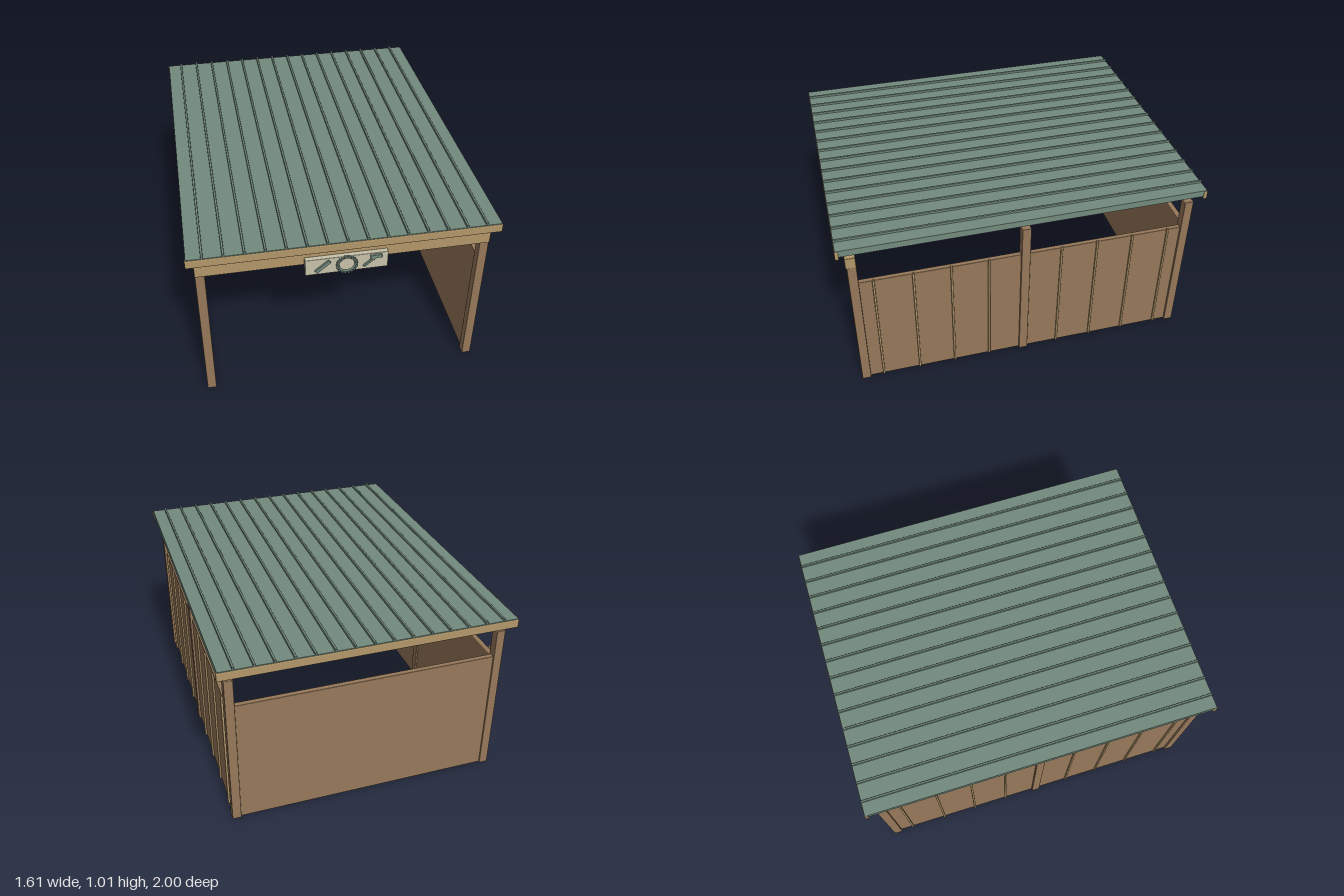
import * as THREE from 'three';
import { RoundedBoxGeometry } from 'three/addons/geometries/RoundedBoxGeometry.js';

const mat = (name, color) => Object.assign(new THREE.MeshStandardMaterial({ color }), { name });

export function createModel() {
  const root = new THREE.Group();
  root.name = 'openShed';
  const wood = mat('brown wood', 0x96785a);
  const tan = mat('tan timber', 0xb2976a);
  const green = mat('grey green metal', 0x738a7e);
  const cream = mat('cream board', 0xc8c2aa);

  const group = (name) => {
    const g = new THREE.Group();
    g.name = name;
    root.add(g);
    return g;
  };
  // Box given by its minimum and maximum corners, with softened edges
  const box = (parent, name, material, [x0, y0, z0], [x1, y1, z1], bevel = 0.004) => {
    const w = x1 - x0, h = y1 - y0, d = z1 - z0;
    const geo = bevel > 0
      ? new RoundedBoxGeometry(w, h, d, 2, Math.min(bevel, Math.min(w, h, d) * 0.4))
      : new THREE.BoxGeometry(w, h, d);
    const mesh = new THREE.Mesh(geo, material);
    mesh.name = name;
    mesh.position.set((x0 + x1) / 2, (y0 + y1) / 2, (z0 + z1) / 2);
    parent.add(mesh);
    return mesh;
  };

  // Posts and side walls, mirrored
  for (const side of [-1, 1]) {
    const label = side > 0 ? 'left' : 'right';
    const frame = group(label + 'Side');
    const span = (a, b) => (side > 0 ? [a, b] : [-b, -a]);
    const [p0, p1] = span(0.715, 0.765);
    for (const z of [-0.925, 0, 0.925]) {
      box(frame, 'post', wood, [p0, 0, z - 0.025], [p1, 0.905, z + 0.025]);
    }
    const [w0, w1] = span(0.725, 0.752);
    box(frame, 'sideWall', wood, [w0, 0.003, -0.905], [w1, 0.724, 0.905]);
    // Battens covering the board joints
    const [b0, b1] = span(0.75, 0.762);
    for (const z of [0.205, 0.41, 0.615, 0.825]) {
      for (const s of [-1, 1]) {
        box(frame, 'batten', tan, [b0, 0.005, s * z - 0.006], [b1, 0.733, s * z + 0.006], 0.003);
      }
    }
  }

  // Back wall and front beam
  box(root, 'backWall', wood, [-0.72, 0.003, -0.942], [0.72, 0.743, -0.912]);
  box(root, 'frontBeam', tan, [-0.766, 0.843, 0.9], [0.766, 0.91, 0.956]);

  // Roof sheet with raised ribs and end fascias
  const roof = group('roof');
  box(roof, 'roofSheet', green, [-0.8, 0.96, -0.997], [0.8, 0.998, 0.997], 0);
  for (let i = -7; i <= 7; i++) {
    const x = i * 0.1029;
    box(roof, 'roofRib', green, [x - 0.006, 0.994, -0.998], [x + 0.006, 1.011, 0.998], 0.003);
  }
  for (const [z0, z1] of [[-1, -0.98], [0.98, 1]]) {
    box(roof, 'fascia', tan, [-0.805, 0.944, z0], [0.805, 0.994, z1], 0.006);
  }

  // Sign board with simple tool shapes
  const sign = group('sign');
  box(sign, 'signBoard', cream, [-0.215, 0.79, 0.955], [0.215, 0.89, 0.982], 0.003);
  const ring = new THREE.Mesh(new THREE.TorusGeometry(0.045, 0.006, 8, 36), green);
  ring.name = 'gearRing';
  ring.position.set(0, 0.84, 0.985);
  sign.add(ring);
  for (let i = 0; i < 18; i++) {
    const a = (i / 18) * Math.PI * 2;
    const tooth = box(sign, 'gearTooth', green, [-0.006, -0.006, 0.978], [0.006, 0.006, 0.994], 0.002);
    tooth.position.x = Math.cos(a) * 0.05;
    tooth.position.y = 0.84 + Math.sin(a) * 0.05;
    tooth.rotation.z = a;
  }
  const bar = (name, x, y, length, width, angle) => {
    const m = box(sign, name, green, [-length / 2, -width / 2, 0.978], [length / 2, width / 2, 0.993], 0.002);
    m.position.x = x;
    m.position.y = y;
    m.rotation.z = angle;
  };
  bar('ruler', -0.125, 0.843, 0.095, 0.02, 0.72);
  bar('hammerHandle', 0.118, 0.842, 0.085, 0.012, 0.72);
  bar('hammerHead', 0.15, 0.872, 0.06, 0.022, 0.08);

  // Workbench in the back corner
  const bench = group('workbench');
  box(bench, 'benchTop', tan, [-0.695, 0.229, -0.87], [-0.462, 0.254, -0.625]);
  for (const x of [-0.67, -0.486]) {
    for (const z of [-0.842, -0.654]) {
      box(bench, 'benchLeg', wood, [x - 0.01, 0, z - 0.01], [x + 0.01, 0.232, z + 0.01], 0.002);
    }
  }

  // Toolbox and its handle
  const toolbox = group('toolbox');
  box(toolbox, 'toolboxBody', wood, [-0.652, 0.254, -0.79], [-0.505, 0.328, -0.705], 0.006);
  box(toolbox, 'toolboxHandle', green, [-0.608, 0.328, -0.758], [-0.548, 0.342, -0.737], 0.004);

  return root;
}
